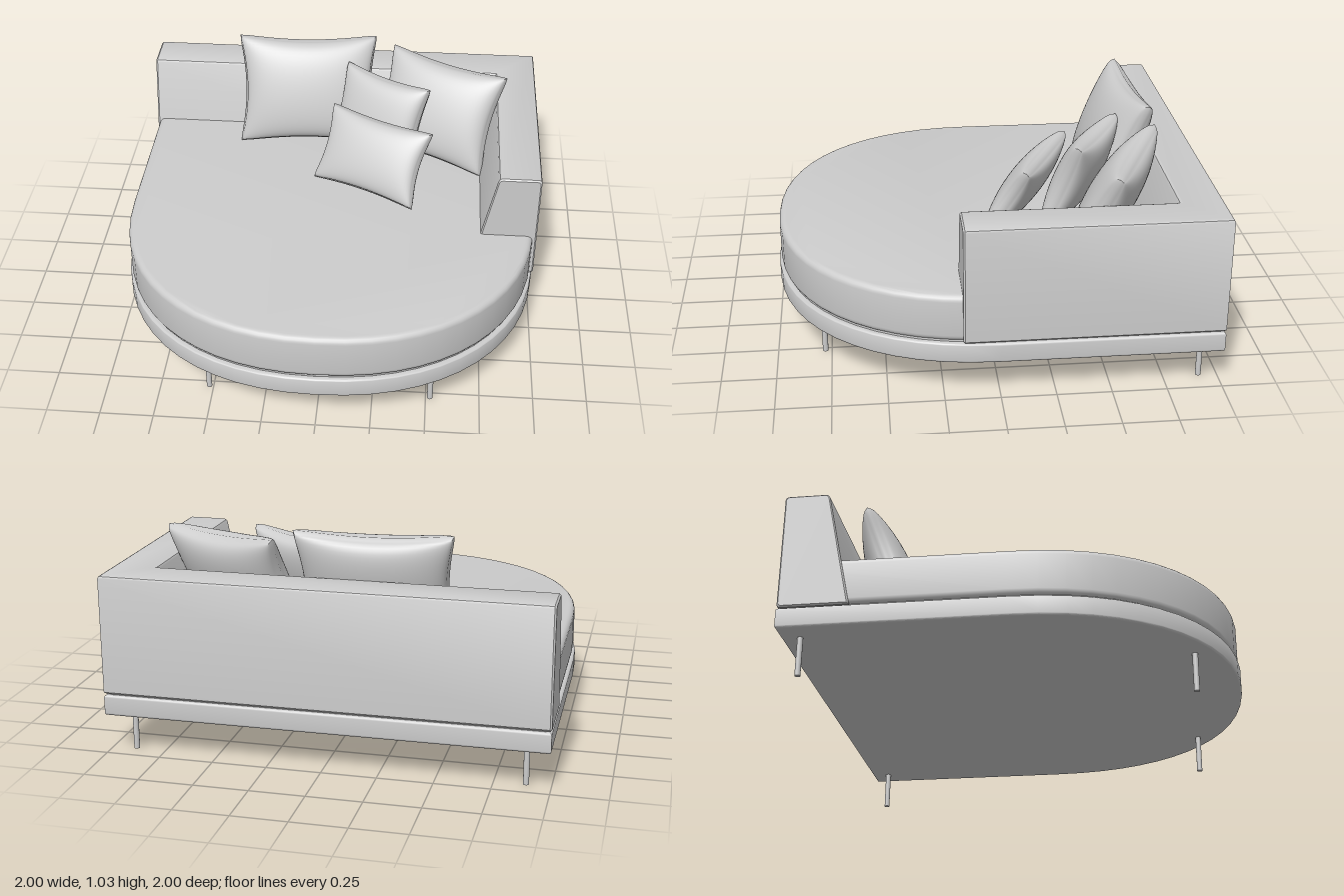
import * as THREE from 'three';
import { mergeVertices, toCreasedNormals } from 'three/addons/utils/BufferGeometryUtils.js';

const fabric = new THREE.MeshStandardMaterial({ color: 0xcccccc });
fabric.name = 'light grey';

function add(group, name, geometry) {
  const mesh = new THREE.Mesh(geometry, fabric);
  mesh.name = name;
  group.add(mesh);
  return mesh;
}

// Slab with a square back and a rounded front, softened along its edges
function slab(halfWidth, back, front, y0, y1, radius) {
  const shape = new THREE.Shape();
  shape.moveTo(-halfWidth, -back);
  const steps = 28, power = 2 / 2.2;
  for (let i = 0; i <= steps; i++) {
    const a = Math.PI * (1 - i / steps);
    const c = Math.cos(a), s = Math.max(0, Math.sin(a));
    shape.lineTo(halfWidth * Math.sign(c) * Math.abs(c) ** power, -front * s ** power);
  }
  shape.lineTo(halfWidth, -back);
  shape.closePath();
  const geo = new THREE.ExtrudeGeometry(shape, {
    depth: y1 - y0 - 2 * radius, bevelEnabled: true, bevelThickness: radius,
    bevelSize: radius, bevelOffset: -radius, bevelSegments: 5,
  });
  geo.rotateX(-Math.PI / 2);
  geo.translate(0, y0 + radius, 0);
  return toCreasedNormals(geo, 0.6);
}

// Mitred L-shaped backrest: a sloped profile (depth, height) swept round the corner
function backrestGeometry() {
  const profile = [[0.01, 0.28], [0, 0.29], [0, 0.818], [0.004, 0.827], [0.013, 0.831],
    [0.187, 0.831], [0.197, 0.827], [0.203, 0.818], [0.318, 0.28]];
  const shrink = ([d, y]) => [0.14 + (d - 0.14) * 0.95, 0.55 + (y - 0.55) * 0.975];
  const end = profile.map(shrink);
  const rings = [
    end.map(([d, y]) => [-1, y, -1 + d]),
    profile.map(([d, y]) => [-0.992, y, -1 + d]),
    profile.map(([d, y]) => [1 - d, y, -1 + d]),
    profile.map(([d, y]) => [1 - d, y, 0.158]),
    end.map(([d, y]) => [1 - d, y, 0.166]),
  ];
  const pos = [], n = profile.length;
  const tri = (a, b, c) => pos.push(...a, ...b, ...c);
  for (let i = 0; i < rings.length - 1; i++) {
    for (let j = 0; j < n; j++) {
      const k = (j + 1) % n, p = rings[i], q = rings[i + 1];
      tri(p[j], p[k], q[k]);
      tri(p[j], q[k], q[j]);
    }
  }
  const first = rings[0], last = rings[rings.length - 1];
  for (let j = 1; j < n - 1; j++) {
    tri(first[0], first[j + 1], first[j]);
    tri(last[0], last[j], last[j + 1]);
  }
  const geo = new THREE.BufferGeometry();
  geo.setAttribute('position', new THREE.Float32BufferAttribute(pos, 3));
  return toCreasedNormals(geo, 0.5);
}

// Stuffed cushion with pinched edges and pointed corners
function cushionGeometry(w, h, t) {
  let geo = new THREE.BoxGeometry(2, 2, 2, 28, 28, 2);
  geo.deleteAttribute('uv');
  geo.deleteAttribute('normal');
  geo = mergeVertices(geo);
  const p = geo.attributes.position;
  for (let i = 0; i < p.count; i++) {
    // crowd the grid towards the edges
    const u = Math.sin(p.getX(i) * Math.PI / 2), v = Math.sin(p.getY(i) * Math.PI / 2);
    const bulge = Math.max(0, (1 - u * u) * (1 - v * v)) ** 0.42;
    const corner = 1 - 0.03 * (u * v) ** 8;
    const rim = Math.max(Math.abs(u), Math.abs(v)) > 0.9999 && p.getZ(i) === 0 ? 0.012 : 0;
    const x = u * (w / 2 - rim) * (1 - 0.11 * (1 - v * v) * u * u) * corner;
    const y = v * (h / 2 - rim) * (1 - 0.11 * (1 - u * u) * v * v) * corner;
    // the seam ring sits slightly proud of both faces
    p.setXYZ(i, x + Math.sign(u) * rim * 1.6 * Math.abs(u), y + Math.sign(v) * rim * 1.6 * Math.abs(v),
      p.getZ(i) * (0.015 + (t / 2 - 0.015) * bulge));
  }
  geo.computeVertexNormals();
  return geo;
}

export function createModel() {
  const model = new THREE.Group();
  model.name = 'daybed';

  add(model, 'base', slab(1, -1, 0.995, 0.18, 0.276, 0.012));
  add(model, 'seat', slab(0.99, -0.96, 0.985, 0.282, 0.506, 0.03));
  // dark joint between base and seat
  add(model, 'joint', slab(0.975, -0.985, 0.97, 0.265, 0.29, 0.002));
  add(model, 'backrest', backrestGeometry());

  // Legs
  for (const side of [-1, 1]) {
    for (const [name, x, z] of [['frontLeg', 0.52, 0.78], ['backLeg', 0.89, -0.915]]) {
      add(model, name, new THREE.CylinderGeometry(0.013, 0.013, 0.19, 16)).position.set(side * x, 0.095, z);
    }
  }

  // Cushions: size, position, then yaw, lean and roll
  const cushions = [
    ['largeBackCushion', [0.71, 0.56, 0.23], [-0.175, 0.77, -0.67], [0.06, -0.36, 0]],
    ['cornerCushion', [0.64, 0.52, 0.22], [0.5, 0.74, -0.56], [-0.42, -0.46, -0.03]],
    ['middleCushion', [0.49, 0.46, 0.18], [0.205, 0.738, -0.455], [-0.53, -0.38, 0]],
    ['frontCushion', [0.56, 0.38, 0.16], [0.187, 0.685, -0.2], [-0.46, -0.55, 0]],
  ];
  for (const [name, size, position, [yaw, lean, roll]] of cushions) {
    const cushion = add(model, name, cushionGeometry(...size));
    cushion.position.set(...position);
    cushion.rotation.set(lean, yaw, roll, 'YXZ');
  }
  return model;
}
